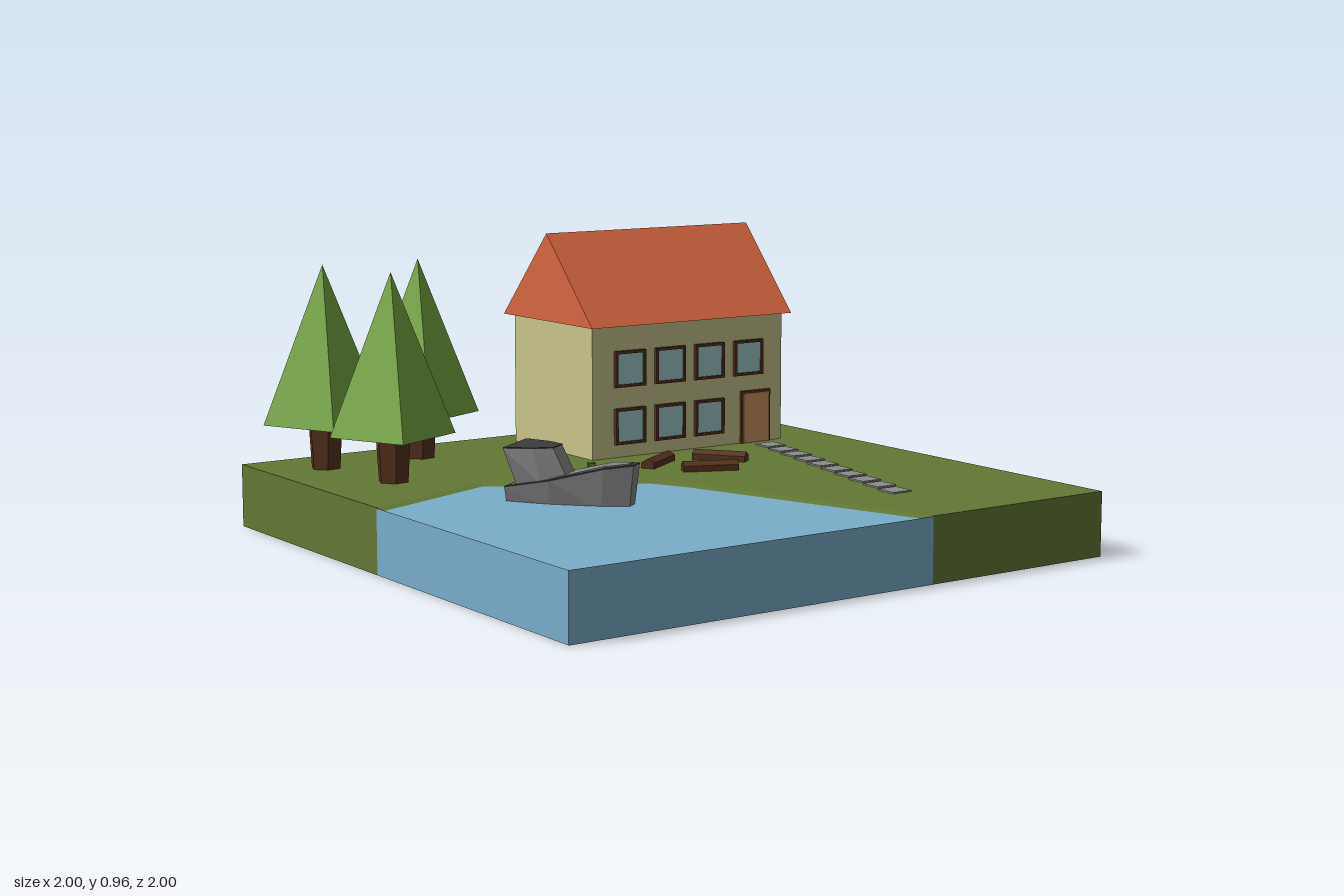
import * as THREE from 'three';

const TOP = 0.21;
const COLORS = {
  grass: 0x637834, water: 0x7aadca, wall: 0xc9c48b, roof: 0xd86742, leaf: 0x74a640, wood: 0x55301c,
  glass: 0xa0c8c8, door: 0xc89060, stone: 0x8c8c8c, hull: 0x868686, dark: 0x3c3c3c, ash: 0x2c2018,
};

function mesh(parent, name, geometry, color, pos = [0, 0, 0], rotY = 0) {
  const m = new THREE.Mesh(geometry, new THREE.MeshStandardMaterial({ color: COLORS[color], flatShading: true }));
  m.name = name;
  m.position.set(...pos);
  m.rotation.y = rotY;
  parent.add(m);
  return m;
}

function group(parent, name, pos = [0, 0, 0], rotY = 0) {
  const g = new THREE.Group();
  g.name = name;
  g.position.set(...pos);
  g.rotation.y = rotY;
  parent.add(g);
  return g;
}

const box = (w, h, d) => new THREE.BoxGeometry(w, h, d);

// Unindexed geometry from quads, each listed counter-clockwise
function quads(list) {
  const pos = [];
  for (const [a, b, c, d] of list) pos.push(...a, ...b, ...c, ...a, ...c, ...d);
  const g = new THREE.BufferGeometry();
  g.setAttribute('position', new THREE.Float32BufferAttribute(pos, 3));
  g.computeVertexNormals();
  return g;
}

// Horizontal polygon from [x, z] points
function flat(points) {
  return new THREE.ShapeGeometry(new THREE.Shape(points.map(([x, z]) => new THREE.Vector2(x, -z)))).rotateX(-Math.PI / 2);
}

// Band between two polylines of [x, z] points at two heights
function band(upper, yU, lower, yL) {
  const at = ([x, z], y) => [x, y, z];
  return quads(upper.slice(1).map((p, i) =>
    [at(upper[i], yU), at(lower[i], yL), at(lower[i + 1], yL), at(p, yU)]));
}

// Closed loft of four-cornered sections: [zBottom, zTop, halfBottom, halfTop, yBottom, yTop]
function loft(sections) {
  const rings = sections.map(([zb, zt, hb, ht, yb, yt]) => [[-hb, yb, zb], [hb, yb, zb], [ht, yt, zt], [-ht, yt, zt]]);
  const faces = [[...rings[0]].reverse(), rings[rings.length - 1]];
  for (let i = 0; i + 1 < rings.length; i++) {
    for (let k = 0; k < 4; k++) {
      const n = (k + 1) % 4;
      faces.push([rings[i][k], rings[i][n], rings[i + 1][n], rings[i + 1][k]]);
    }
  }
  return quads(faces);
}

function addTerrain(root) {
  const g = group(root, 'terrain');
  const shore = [[-1, -0.07], [-0.52, -0.26], [-0.03, 0], [0.3, 1]];
  const bed = [[-1, 0.15], [-0.63, 0.01], [-0.27, 0.28], [0.08, 1]];
  const rim = [[0.3, 1], [1, 1], [1, -1], [-1, -1], [-1, -0.07]];
  const pondRim = [[-1, -0.07], [-1, 1], [0.3, 1]];
  const waterShape = [[-1, -0.07], [-0.52, -0.26], [-0.12, -0.23], [0.3, 1], [-1, 1]];
  const parts = [
    mesh(g, 'lawn', flat([...shore, ...rim.slice(1, 4)]), 'grass', [0, TOP, 0]),
    mesh(g, 'lawnSides', band(rim, TOP, rim, 0), 'grass'),
    mesh(g, 'pondBank', band(shore, TOP, bed, 0.182), 'grass'),
    mesh(g, 'pondBed', flat([...bed, [-1, 1]]), 'grass', [0, 0.182, 0]),
    mesh(g, 'pondWater', flat(waterShape), 'water', [0, 0.205, 0]),
    mesh(g, 'pondSides', band(pondRim, 0.208, pondRim, 0), 'water'),
  ];
  parts.forEach((p) => { p.material.side = THREE.DoubleSide; });
}

function addWindow(parent, pos, rotY) {
  const g = group(parent, 'window', pos, rotY);
  const s = 0.124;
  const t = 0.01;
  for (const k of [-1, 1]) {
    mesh(g, 'windowFrameSide', box(t, s, 0.025), 'wood', [k * (s - t) / 2, 0, 0]);
    mesh(g, 'windowFrameRail', box(s, t, 0.025), 'wood', [0, k * (s - t) / 2, 0]);
  }
  mesh(g, 'windowGlass', box(s - t, s - t, 0.014), 'glass');
}

function addHouse(root) {
  const g = group(root, 'house');
  mesh(g, 'houseWalls', box(0.8, 0.455, 0.49), 'wall', [0.4, 0.4325, -0.635]);
  // Gabled roof, ridge a touch longer than the eaves on the right
  const [a, b, c, d] = [[-0.02, 0.66, -0.36], [0.82, 0.66, -0.36], [0.82, 0.66, -0.92], [-0.02, 0.66, -0.92]];
  const [l, r] = [[-0.02, 0.96, -0.64], [0.83, 0.96, -0.64]];
  mesh(g, 'roof', quads([[a, b, r, l], [c, d, l, r], [d, a, l, l], [b, c, r, r], [a, d, c, b]]), 'roof');
  for (const x of [0.15, 0.316, 0.482, 0.65]) {
    addWindow(g, [x, 0.512, -0.39], 0);
    if (x < 0.6) addWindow(g, [x, 0.316, -0.39], 0);
  }
  for (const z of [-0.57, -0.737]) for (const y of [0.316, 0.512]) addWindow(g, [0.803, y, z], Math.PI / 2);
  mesh(g, 'doorFrame', box(0.126, 0.185, 0.02), 'wood', [0.682, 0.302, -0.39]);
  mesh(g, 'door', box(0.108, 0.174, 0.026), 'door', [0.682, 0.298, -0.39]);
}

function addBoat(root) {
  const g = group(root, 'boat', [-0.548, 0, 0], 0.607);
  // Plan of the hull: distance from stern, half width, deck height
  const plan = [[0, 0.085, 0.252], [0.15, 0.092, 0.28], [0.32, 0.066, 0.322], [0.405, 0.028, 0.332]];
  mesh(g, 'hull', loft(plan.map(([z, h, y]) => [z * 0.96, z, h * 0.78, h, 0.19, y])), 'hull');
  mesh(g, 'hullRim', loft(plan.map(([z, h, y]) => [z, z, h, h, y - 0.002, y + 0.002])), 'dark');
  mesh(g, 'deck', loft(plan.map(([z, h, y]) => [z * 0.93 + 0.01, z * 0.93 + 0.01, h * 0.72, h * 0.72, y - 0.004, y + 0.004])), 'hull');
  mesh(g, 'cabin', loft([[0.04, 0, 0.07, 0.092, 0.245, 0.372], [0.12, 0.09, 0.078, 0.07, 0.265, 0.372],
    [0.19, 0.145, 0.038, 0.036, 0.28, 0.372]]), 'hull');
  mesh(g, 'cabinRoof', loft([[0, 0, 0.092, 0.092, 0.371, 0.376], [0.09, 0.09, 0.07, 0.07, 0.371, 0.376],
    [0.145, 0.145, 0.036, 0.036, 0.371, 0.376]]), 'dark');
}

function addDock(root) {
  const g = group(root, 'dock', [-0.31, 0, -0.035], -0.385);
  mesh(g, 'dockDeck', box(0.14, 0.018, 0.25), 'grass', [0, 0.231, 0]);
  for (const x of [-0.072, 0.072]) {
    for (const z of [-0.058, 0.062]) mesh(g, 'dockPost', box(0.024, 0.082, 0.024), 'grass', [x, 0.231, z]);
  }
}

function addCamp(root) {
  const g = group(root, 'camp');
  // Log benches: centre x, z and heading
  const logs = [[0.14, -0.205, 31, -20], [0.36, -0.155, 21, 28], [0.215, -0.015, 33, 14]];
  for (const [x, z, dx, dz] of logs) {
    const log = new THREE.CylinderGeometry(0.027, 0.027, 0.185, 6).rotateX(Math.PI / 2);
    mesh(g, 'logBench', log, 'wood', [x, 0.216, z], Math.atan2(dx, dz));
  }
  for (let i = 0; i < 4; i++) {
    mesh(g, 'fireStick', box(0.008, 0.01, 0.048), 'ash', [0.24, 0.216, -0.12], i * Math.PI / 4);
  }
}

export function createModel() {
  const root = new THREE.Group();
  root.name = 'lakesideHouse';
  addTerrain(root);
  addHouse(root);
  addBoat(root);
  addDock(root);
  addCamp(root);

  // Pyramid trees
  for (const [x, z] of [[-0.8, -0.78], [-0.44, -0.785], [-0.74, -0.43]]) {
    const g = group(root, 'tree', [x, 0, z], -0.35);
    mesh(g, 'treeTrunk', new THREE.CylinderGeometry(0.06, 0.05, 0.17, 6), 'wood', [0, 0.285, 0]);
    mesh(g, 'treeCrown', new THREE.ConeGeometry(0.203, 0.525, 4), 'leaf', [0, 0.6225, 0]);
  }

  // Stepping stones from the door to the front
  for (let i = 0; i < 10; i++) {
    const t = i / 9;
    mesh(root, 'steppingStone', box(0.075, 0.008, 0.075), 'stone', [0.678 - 0.21 * t, 0.211, -0.29 + 0.913 * t]);
  }
  return root;
}
